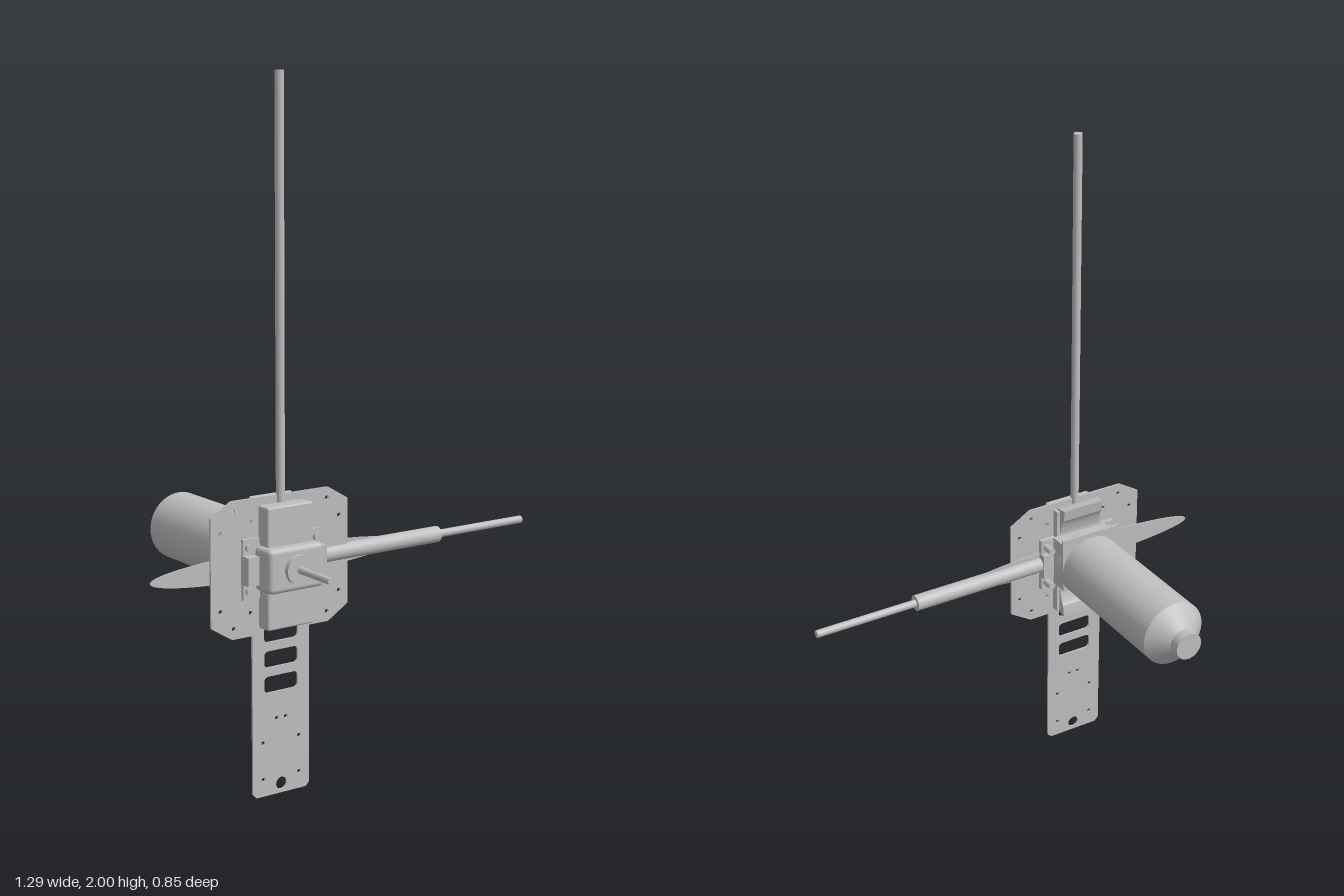
import * as THREE from 'three';
import { RoundedBoxGeometry } from 'three/addons/geometries/RoundedBoxGeometry.js';

const CX = -0.235, CY = 0.666; // main axis of the assembly

export function createModel() {
  const model = new THREE.Group();
  const grey = new THREE.MeshStandardMaterial({ color: 0xbfbfbf });
  grey.name = 'plain grey';

  const add = (name, geometry, x = 0, y = 0, z = 0) => {
    const mesh = new THREE.Mesh(geometry, grey);
    mesh.name = name;
    mesh.position.set(x, y, z);
    model.add(mesh);
    return mesh;
  };
  // box given by its limits on each axis
  const box = (name, x0, x1, y0, y1, z0, z1) =>
    add(name, new THREE.BoxGeometry(x1 - x0, y1 - y0, z1 - z0), (x0 + x1) / 2, (y0 + y1) / 2, (z0 + z1) / 2);
  // cylinder along an axis from a to b
  const rod = (name, axis, r, a, b, x, y, z) => {
    const g = new THREE.CylinderGeometry(r, r, b - a, 32);
    if (axis === 'x') g.rotateZ(-Math.PI / 2);
    if (axis === 'z') g.rotateX(Math.PI / 2);
    const mesh = add(name, g, x, y, z);
    mesh.position[axis] = (a + b) / 2;
    return mesh;
  };

  // mounting plate with chamfered head, slots and screw holes
  const plate = new THREE.Shape([
    [-0.095, 0.012], [-0.083, 0], [0.083, 0], [0.095, 0.012], [0.095, 0.473],
    [0.16, 0.473], [0.227, 0.515], [0.227, 0.82], [0.16, 0.86],
    [-0.16, 0.86], [-0.227, 0.82], [-0.227, 0.515], [-0.16, 0.473], [-0.095, 0.473],
  ].map(([x, y]) => new THREE.Vector2(x, y)));
  const hole = (x, y, r) => plate.holes.push(new THREE.Path().absarc(x, y, r, 0, Math.PI * 2, true));
  const slot = (y0, y1) => {
    const w = 0.056, r = 0.013, p = new THREE.Path();
    p.absarc(-w + r, y0 + r, r, -Math.PI / 2, -Math.PI, true);
    p.absarc(-w + r, y1 - r, r, Math.PI, Math.PI / 2, true);
    p.absarc(w - r, y1 - r, r, Math.PI / 2, 0, true);
    p.absarc(w - r, y0 + r, r, 0, -Math.PI / 2, true);
    plate.holes.push(p);
  };
  slot(0.30, 0.347);
  slot(0.373, 0.42);
  slot(0.446, 0.493);
  hole(0, 0.028, 0.018);
  for (const s of [-1, 1]) {
    for (const [x, y] of [[0.06, 0.05], [0.06, 0.157], [0.015, 0.222],
      [0.155, 0.83], [0.197, 0.775], [0.1, 0.795], [0.155, 0.503], [0.197, 0.558], [0.1, 0.54]]) hole(s * x, y, 0.006);
  }
  add('mountingPlate', new THREE.ExtrudeGeometry(plate, { depth: 0.006, bevelEnabled: false, curveSegments: 10 }), CX, 0, 0.18);

  // flat propeller blade behind the plate
  const blade = new THREE.Shape().absellipse(0, 0, 0.41, 0.04, 0, Math.PI * 2);
  add('blade', new THREE.ExtrudeGeometry(blade, { depth: 0.004, bevelEnabled: false, curveSegments: 32 }), CX, 0.668, 0.174);

  // front housing and output shaft
  add('frontCover', new RoundedBoxGeometry(0.15, 0.345, 0.05, 2, 0.006), CX, CY, 0.21);
  add('gearHousing', new RoundedBoxGeometry(0.18, 0.125, 0.08, 3, 0.014), CX, CY, 0.227);
  rod('boss', 'z', 0.041, 0.26, 0.281, CX, CY, 0);
  rod('outputShaft', 'z', 0.01, 0.28, 0.424, CX, CY, 0);

  // rear frame with flared lips at top and bottom
  box('rearFrame', CX - 0.078, CX + 0.078, 0.49, 0.84, 0.158, 0.18);
  for (const s of [-1, 1]) {
    const lip = new THREE.Shape();
    lip.moveTo(-0.18, s * 0.1);
    lip.lineTo(-0.155, s * 0.1);
    lip.quadraticCurveTo(-0.15, s * 0.135, -0.137, s * 0.15);
    lip.lineTo(-0.132, s * 0.186);
    lip.lineTo(-0.165, s * 0.18);
    lip.lineTo(-0.18, s * 0.175);
    const g = new THREE.ExtrudeGeometry(lip, { depth: 0.136, bevelEnabled: false });
    g.rotateY(Math.PI / 2);
    add(s > 0 ? 'upperLip' : 'lowerLip', g, CX - 0.068, CY, 0);
  }
  box('motorMount', CX - 0.09, CX + 0.09, CY - 0.07, CY + 0.09, 0.1, 0.16);
  box('mountFlange', CX - 0.1, CX + 0.1, 0.672, 0.78, 0.088, 0.096);

  // side brackets and their clamps
  for (const s of [-1, 1]) {
    box('sideBracket', CX + s * 0.1 - 0.029, CX + s * 0.1 + 0.029, 0.58, 0.75, 0.165, 0.195);
    box('bracketTab', CX + s * 0.112 - 0.018, CX + s * 0.112 + 0.018, 0.625, 0.705, 0.15, 0.222);
    for (const y of [0.605, 0.727]) rod('bracketScrew', 'z', 0.011, 0.13, 0.205, CX + s * 0.112, y, 0);
  }

  // upright mast and telescopic side arm
  rod('mast', 'y', 0.0125, 0.83, 2, CX, 0, 0.185);
  rod('armSleeve', 'x', 0.024, -0.13, 0.322, 0, CY, 0.176);
  rod('armRod', 'x', 0.0115, 0.31, 0.643, 0, CY, 0.176);

  // motor can: straight body, tapered shoulder and rear cap
  const parts = [[0.1, 0.1, 0.135, -0.35], [0.1, 0.042, -0.35, -0.4], [0.042, 0.042, -0.4, -0.43]];
  ['motorBody', 'motorShoulder', 'motorCap'].forEach((name, i) => {
    const [r0, r1, z0, z1] = parts[i];
    const g = new THREE.CylinderGeometry(r1, r0, z0 - z1, 48);
    g.rotateX(-Math.PI / 2);
    add(name, g, CX, CY, (z0 + z1) / 2);
  });

  return model;
}
